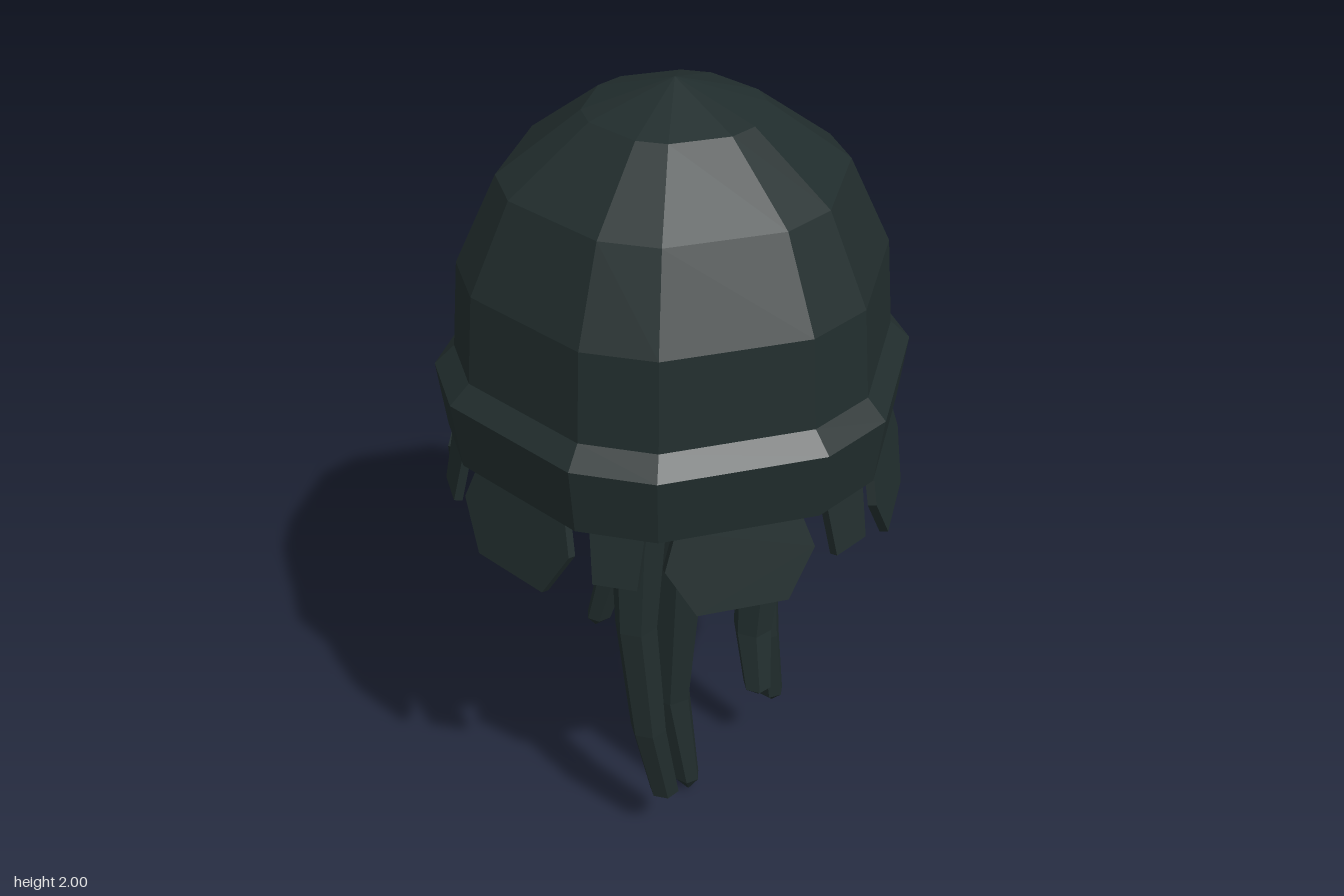
import * as THREE from 'three';

const skin = new THREE.MeshStandardMaterial({ color: 0x212d2d, flatShading: true, side: THREE.DoubleSide });
skin.name = 'dark teal';

function part(name, geometry) {
  const mesh = new THREE.Mesh(geometry, skin);
  mesh.name = name;
  return mesh;
}

// Body with a chamfered-hexagon plan (wide and narrow sides alternate), profile from bottom to top
function turned(name, profile) {
  const points = profile.map(([r, y]) => new THREE.Vector2(r, y));
  const geometry = new THREE.LatheGeometry(points, 12);
  const pos = geometry.attributes.position;
  for (let i = 0; i < pos.count; i++) {
    const column = Math.floor(i / points.length);
    const [r, y] = profile[i % points.length];
    const a = THREE.MathUtils.degToRad(column * 30 + (column % 2 ? 20 : 10));
    pos.setXYZ(i, r * Math.sin(a), y, r * Math.cos(a));
  }
  geometry.computeVertexNormals();
  return part(name, geometry);
}

// Tapered limb: each row of a cylinder is moved onto a path point [x, y, z, radius]
function limb(name, path, turn) {
  const rows = path.length - 1, sides = 6;
  const geometry = new THREE.CylinderGeometry(1, 1, 1, sides, rows, true);
  const pos = geometry.attributes.position;
  for (let i = 0; i < pos.count; i++) {
    const row = Math.floor(i / (sides + 1));
    const a = (i % (sides + 1)) / sides * Math.PI * 2 + turn;
    const [x, y, z, r] = path[row];
    pos.setXYZ(i, x + r * Math.sin(a), y, z + r * Math.cos(a));
  }
  geometry.computeVertexNormals();
  return part(name, geometry);
}

// Hanging plate, its outline measured from the top edge
function flap(name, outline, angle, radius) {
  const shape = new THREE.Shape(outline.map(([x, y]) => new THREE.Vector2(x, y)));
  const geometry = new THREE.ExtrudeGeometry(shape, { depth: 0.02, bevelEnabled: false });
  geometry.translate(0, 0, -0.01);
  const mesh = part(name, geometry);
  mesh.rotation.order = 'YXZ';
  mesh.rotation.set(-0.21, angle, 0);
  mesh.position.set(Math.sin(angle) * radius, 1.185, Math.cos(angle) * radius);
  return mesh;
}

export function createModel() {
  const model = new THREE.Group();
  model.name = 'jellyfish';

  // Bell with its overhanging rim
  model.add(turned('bell', [
    [0.503, 1.38], [0.485, 1.59], [0.388, 1.795], [0.2, 1.935], [0, 2],
  ]));
  model.add(turned('rim', [
    [0, 1.16], [0.3, 1.16], [0.53, 1.172], [0.55, 1.335], [0.503, 1.38],
  ]));

  // Core below the bell
  model.add(turned('core', [
    [0, 0.995], [0.2, 0.99], [0.305, 1.08], [0.28, 1.17],
  ]));

  // Alternating large and small flaps around the rim
  const large = [[-0.14, 0], [-0.17, -0.09], [-0.105, -0.207], [0.105, -0.207], [0.17, -0.09], [0.14, 0]];
  const small = [[-0.062, 0], [-0.05, -0.138], [0.05, -0.138], [0.062, 0]];
  const flaps = new THREE.Group();
  flaps.name = 'flaps';
  for (let i = 0; i < 6; i++) {
    const angle = i * Math.PI / 3;
    flaps.add(flap('smallFlap', small, angle, 0.505));
    flaps.add(flap('largeFlap', large, angle + Math.PI / 6, 0.48));
  }
  model.add(flaps);

  // Five trailing tentacles
  const tentacles = new THREE.Group();
  tentacles.name = 'tentacles';
  tentacles.add(
    limb('centreTentacle', [
      [-0.01, 1.06, 0.04, 0.08], [-0.02, 0.75, 0.03, 0.073], [-0.035, 0.33, 0.02, 0.053],
      [-0.015, 0.05, 0.06, 0.034], [-0.01, 0, 0.06, 0.002]], 0.2),
    limb('rightTentacle', [
      [-0.205, 1.06, 0.08, 0.072], [-0.238, 0.72, 0.1, 0.052], [-0.225, 0.4, 0.125, 0.045],
      [-0.18, 0.165, 0.135, 0.038], [-0.17, 0.13, 0.135, 0.002]], 0.5),
    limb('leftTentacle', [
      [0.2, 1.06, 0.07, 0.085], [0.205, 0.75, 0.09, 0.058], [0.21, 0.45, 0.12, 0.042],
      [0.235, 0.235, 0.13, 0.034], [0.24, 0.2, 0.13, 0.002]], 0.1),
    limb('frontTentacle', [
      [0.03, 1.06, 0.24, 0.075], [0.045, 0.85, 0.238, 0.06], [0.025, 0.64, 0.24, 0.048],
      [0.002, 0.49, 0.28, 0.035], [0, 0.465, 0.285, 0.002]], 0.4),
    limb('backTentacle', [
      [0.04, 1.06, -0.2, 0.088], [0.05, 0.8, -0.208, 0.062], [0.04, 0.6, -0.243, 0.048],
      [0.01, 0.39, -0.292, 0.034], [0.005, 0.355, -0.3, 0.002]], 0.3),
  );
  model.add(tentacles);

  return model;
}
